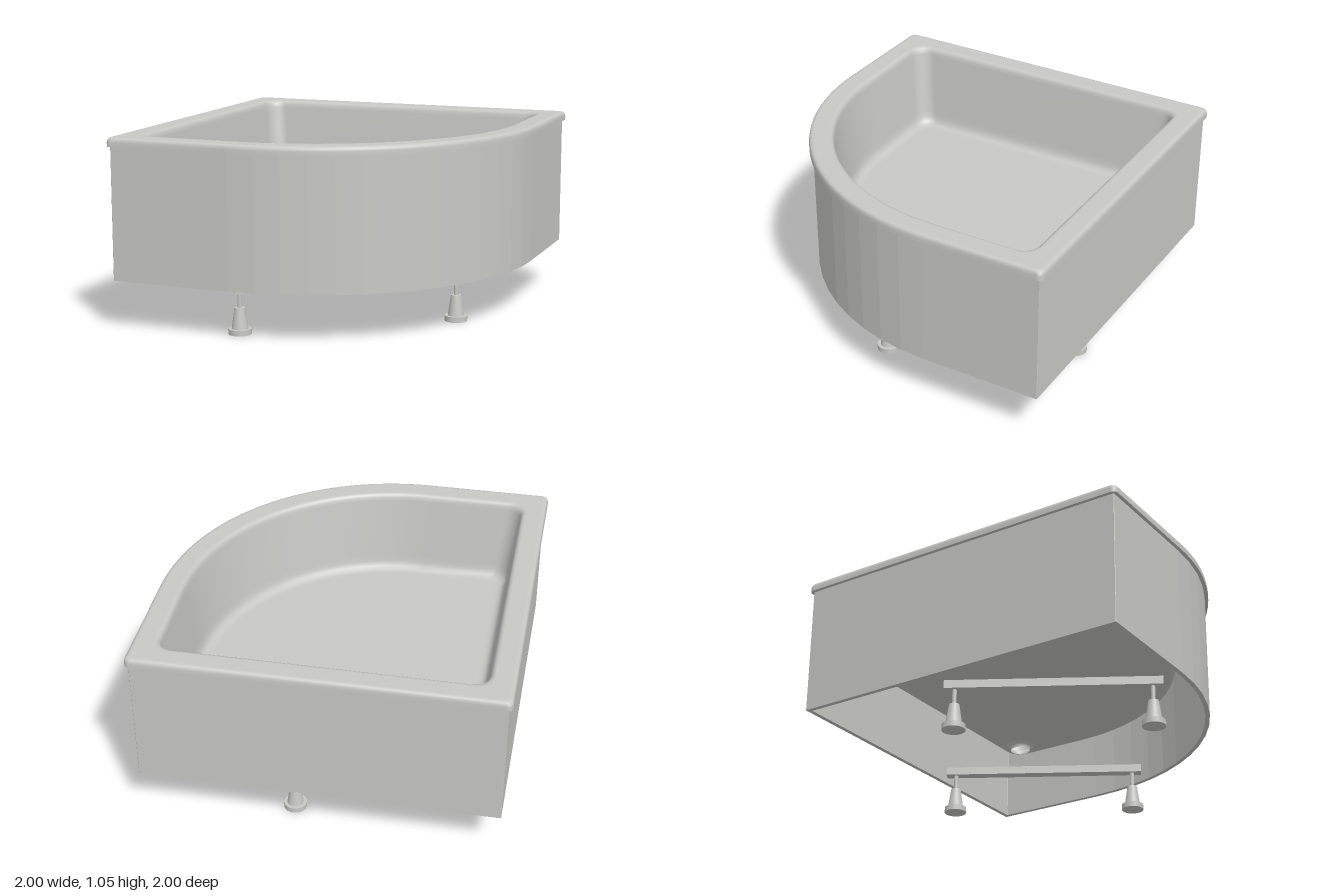
import * as THREE from 'three';

const ARC_C = -0.3, ARC_R = 1.3;

// Quadrant outline in (x, z), inset from the rim, with rounded square corners
function outline(inset, r, cornerSegs, arcSegs) {
  const a = 1 - inset, pts = [];
  const corner = (cx, cz, start) => {
    for (let i = 0; i <= cornerSegs; i++) {
      const t = start + (i / cornerSegs) * Math.PI / 2;
      pts.push(new THREE.Vector2(cx + r * Math.cos(t), cz + r * Math.sin(t)));
    }
  };
  corner(-a + r, -a + r, Math.PI);
  corner(a - r, -a + r, Math.PI * 1.5);
  for (let i = 0; i <= arcSegs; i++) {
    const t = (i / arcSegs) * Math.PI / 2, R = ARC_R - inset;
    pts.push(new THREE.Vector2(ARC_C + R * Math.cos(t), ARC_C + R * Math.sin(t)));
  }
  corner(-a + r, a - r, Math.PI / 2);
  return pts;
}

// Outline turned into shape space, so that rotateX(-90 degrees) lays it flat
const flat = (pts) => pts.map((p) => new THREE.Vector2(p.x, -p.y));

// Skin over outlines that follow a profile of [inset, height, corner radius]
function loft(profile) {
  const pos = [], index = [];
  let n = 0;
  profile.forEach(([inset, y, r]) => {
    const pts = outline(inset, r, 8, 40);
    n = pts.length;
    pts.forEach((p) => pos.push(p.x, y, p.y));
  });
  for (let j = 0; j < profile.length - 1; j++) {
    for (let k = 0; k < n; k++) {
      const a = j * n + k, b = j * n + (k + 1) % n;
      index.push(a, a + n, b, b, a + n, b + n);
    }
  }
  const g = new THREE.BufferGeometry();
  g.setAttribute('position', new THREE.Float32BufferAttribute(pos, 3));
  g.setIndex(index);
  g.computeVertexNormals();
  return g;
}

export function createModel() {
  const model = new THREE.Group();
  model.name = 'showerTray';
  const enamel = new THREE.MeshStandardMaterial({ color: 0xc8c8c5, side: THREE.DoubleSide });
  enamel.name = 'light grey enamel';
  const add = (name, geometry, parent = model) => {
    const mesh = new THREE.Mesh(geometry, enamel);
    mesh.name = name;
    parent.add(mesh);
    return mesh;
  };

  // Rim and basin; a repeated entry makes a crease
  const floorY = 0.57;
  add('rimAndBasin', loft([
    [0.04, 1.0, 0.02], [0, 1.0, 0.03], [0, 1.0, 0.03], [0, 1.025, 0.03],
    [0.003, 1.038, 0.03], [0.009, 1.046, 0.03], [0.02, 1.05, 0.03], [0.03, 1.05, 0.03],
    [0.11, 1.05, 0.09], [0.12, 1.049, 0.09], [0.131, 1.043, 0.09], [0.138, 1.03, 0.09],
    [0.142, 1.01, 0.09], [0.188, 0.65, 0.09], [0.193, 0.615, 0.09], [0.203, 0.588, 0.09],
    [0.22, 0.574, 0.085], [0.24, floorY, 0.08], [0.26, floorY, 0.07],
  ]));

  // Basin floor with drain opening
  const drainX = 0.64, drainZ = -0.65, drainR = 0.085;
  const floor = new THREE.Shape(flat(outline(0.26, 0.07, 8, 40)));
  floor.holes.push(new THREE.Path().absarc(drainX, -drainZ, drainR, 0, Math.PI * 2, true));
  add('basinFloor', new THREE.ShapeGeometry(floor, 24)
    .rotateX(-Math.PI / 2).translate(0, floorY, 0));
  const drain = [[0.06, -0.035], [0.06, -0.02], [0.068, -0.013], [drainR, 0]];
  add('drainRecess', new THREE.LatheGeometry(
    drain.map(([x, y]) => new THREE.Vector2(x, y)), 40)).position.set(drainX, floorY, drainZ);

  // Faceted skirt panel, open underneath
  const skirt = new THREE.Shape(flat(outline(0.02, 0.002, 1, 14)));
  skirt.holes.push(new THREE.Path(flat(outline(0.045, 0.002, 1, 14)).reverse()));
  add('skirt', new THREE.ExtrudeGeometry(skirt, { depth: 0.73, bevelEnabled: false })
    .rotateX(-Math.PI / 2).translate(0, 0.27, 0));

  // Two slanted support bars, each on two adjustable feet
  const barAngle = Math.atan2(0.515, 0.905);
  [[0.42, -0.335], [-0.57, 0.36]].forEach(([x, z], i) => {
    const support = new THREE.Group();
    support.name = i ? 'frontSupport' : 'backSupport';
    support.position.set(x, 0, z);
    support.rotation.y = barAngle;
    model.add(support);
    add('supportBar', new THREE.BoxGeometry(0.06, 0.045, 1.15), support).position.y = 0.252;
    for (const side of [-1, 1]) {
      const foot = new THREE.Group();
      foot.name = 'foot';
      foot.position.z = side * 0.52;
      support.add(foot);
      add('footPad', new THREE.CylinderGeometry(0.063, 0.063, 0.03, 24), foot).position.y = 0.015;
      add('footCone', new THREE.CylinderGeometry(0.028, 0.045, 0.115, 24), foot).position.y = 0.0875;
      add('footRod', new THREE.CylinderGeometry(0.012, 0.012, 0.1, 16), foot).position.y = 0.19;
    }
  });
  return model;
}
